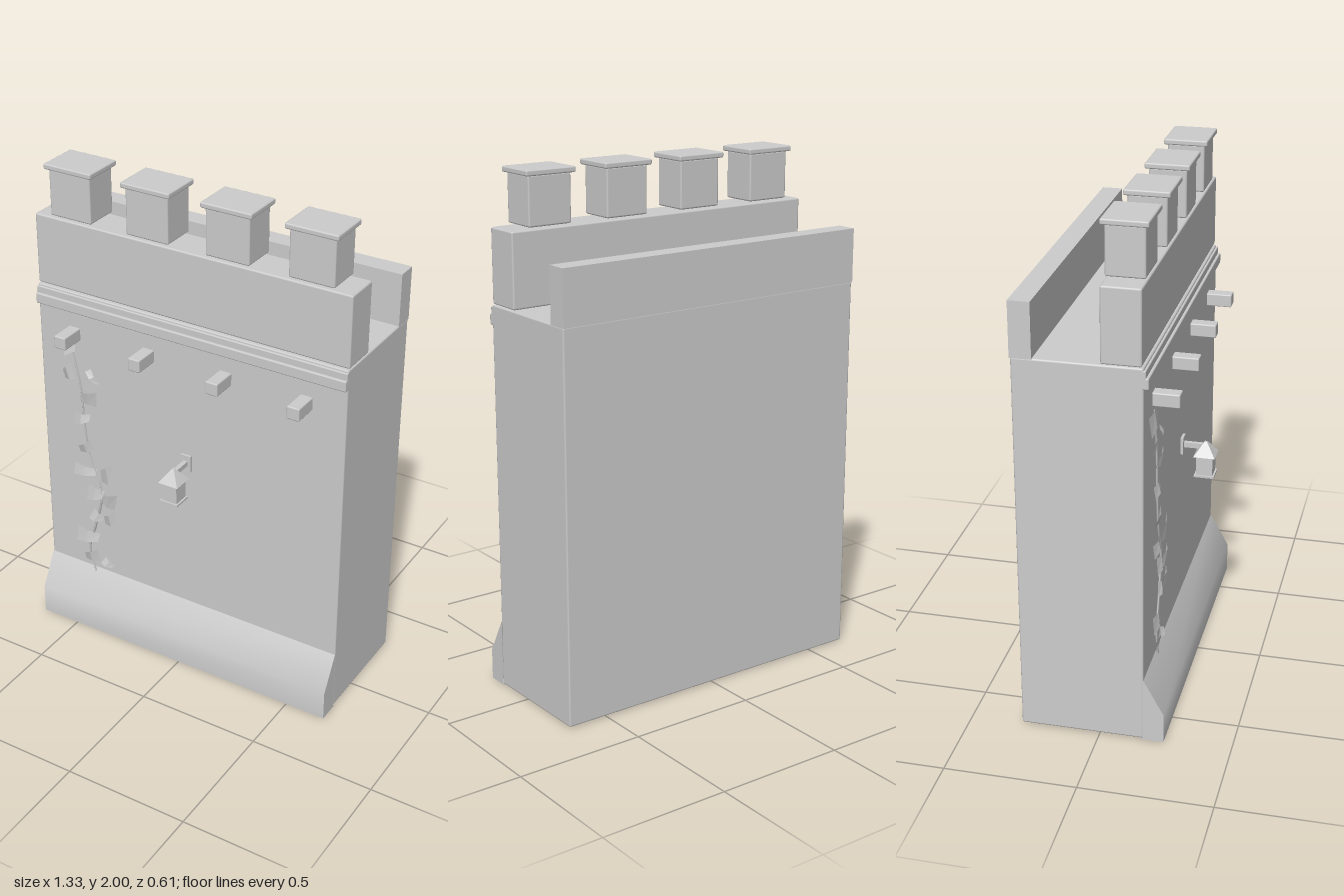
import * as THREE from 'three';
import { RoundedBoxGeometry } from 'three/addons/geometries/RoundedBoxGeometry.js';

const stone = new THREE.MeshStandardMaterial({ color: 0xcccccc, side: THREE.DoubleSide });
stone.name = 'grey stone';

export function createModel() {
  const model = new THREE.Group();
  model.name = 'battlementWall';

  const add = (name, geometry, parent = model) => {
    const mesh = new THREE.Mesh(geometry, stone);
    mesh.name = name;
    parent.add(mesh);
    return mesh;
  };
  // Box given by its limits, with an optional small bevel
  const box = (name, x0, x1, y0, y1, z0, z1, bevel = 0, parent = model) => {
    const size = [x1 - x0, y1 - y0, z1 - z0];
    const g = bevel ? new RoundedBoxGeometry(...size, 1, bevel) : new THREE.BoxGeometry(...size);
    g.translate((x0 + x1) / 2, (y0 + y1) / 2, (z0 + z1) / 2);
    return add(name, g, parent);
  };
  const W = 0.665;

  // Hollow wall body: drop the flat underside, keeping its bevelled rim
  const body = box('wallBody', -W, W, 0.005, 1.503, -0.302, 0.168, 0.007);
  const p = body.geometry.attributes.position.array, n = body.geometry.attributes.normal.array;
  const keptP = [], keptN = [];
  for (let i = 0; i < p.length; i += 9) {
    if (Math.max(p[i + 1], p[i + 4], p[i + 7]) < 0.0055) continue;
    keptP.push(...p.slice(i, i + 9));
    keptN.push(...n.slice(i, i + 9));
  }
  body.geometry = new THREE.BufferGeometry();
  body.geometry.setAttribute('position', new THREE.Float32BufferAttribute(keptP, 3));
  body.geometry.setAttribute('normal', new THREE.Float32BufferAttribute(keptN, 3));

  // Sloped plinth: smooth front skin, flat ends and underside
  const profile = [[0.245, 0], [0.245, 0.12], [0.168, 0.26]];
  const skin = new THREE.BufferGeometry();
  skin.setAttribute('position', new THREE.Float32BufferAttribute(
    profile.flatMap(([z, y]) => [-W, y, z, W, y, z]), 3));
  skin.setIndex([0, 1, 3, 0, 3, 2, 2, 3, 5, 2, 5, 4]);
  skin.computeVertexNormals();
  add('plinthFront', skin);
  const endShape = new THREE.Shape([[0.165, 0], ...profile, [0.165, 0.26]]
    .map(([z, y]) => new THREE.Vector2(-z, y)).reverse());
  for (const s of [-1, 1]) {
    const g = new THREE.ShapeGeometry(endShape);
    if (s < 0) g.scale(-1, 1, 1);
    // Reverse the mirrored triangles so both ends face outward
    if (s < 0) g.setIndex(Array.from(g.index.array).reverse());
    if (s < 0) g.attributes.normal.array.forEach((v, i, a) => { if (i % 3 === 2) a[i] = 1; });
    g.rotateY(s * Math.PI / 2).translate(s * W, 0, 0);
    add('plinthEnd', g);
  }
  box('plinthUnderside', -W, W, 0, 0.006, 0.16, 0.244);

  // Cornice mouldings
  box('corniceUpper', -W, W, 1.462, 1.495, 0.15, 0.176, 0.004);
  box('corniceLower', -W, W, 1.425, 1.468, 0.15, 0.186, 0.005);

  // Parapets
  box('frontParapet', -W, W, 1.506, 1.788, 0.016, 0.162, 0.007);
  box('backParapet', -W, W, 1.5, 1.71, -0.305, -0.225);

  // Merlons with caps, and a corbel beneath each
  for (let i = 0; i < 4; i++) {
    const x = -0.503 + i * 0.3353;
    box('merlon', x - 0.09, x + 0.09, 1.795, 1.98, 0.016, 0.16, 0.007);
    box('merlonCap', x - 0.104, x + 0.104, 1.978, 2, 0.003, 0.173, 0.006);
    box('corbel', x - 0.026, x + 0.026, 1.305, 1.357, 0.15, 0.267, 0.005);
  }

  // Lantern hung from a wall bracket
  const lantern = new THREE.Group();
  lantern.name = 'lantern';
  model.add(lantern);
  box('wallPlate', -0.022, 0.022, 0.88, 0.948, 0.166, 0.178, 0, lantern);
  box('bracketArm', -0.009, 0.009, 0.905, 0.925, 0.175, 0.265, 0, lantern);
  const tier = (name, rTop, rBottom, y0, y1) => {
    const k = Math.SQRT2;
    const g = new THREE.CylinderGeometry(rTop * k, rBottom * k, y1 - y0, 4).toNonIndexed();
    g.rotateY(Math.PI / 4).translate(0, (y0 + y1) / 2, 0.263);
    g.computeVertexNormals();
    add(name, g, lantern);
  };
  tier('lanternBase', 0.039, 0.039, 0.796, 0.804);
  tier('lanternBody', 0.032, 0.032, 0.804, 0.884);
  tier('lanternRoof', 0.005, 0.042, 0.882, 0.935);

  // Climbing plant: a thin stem and folded leaves
  const ivy = new THREE.Group();
  ivy.name = 'climbingPlant';
  model.add(ivy);
  const stem = new THREE.CatmullRomCurve3(
    [[-0.52, 1.29], [-0.48, 1.1], [-0.47, 0.94], [-0.45, 0.8], [-0.4, 0.645],
      [-0.44, 0.46], [-0.47, 0.35], [-0.44, 0.23]].map(([x, y]) => new THREE.Vector3(x, y, 0.174)));
  add('stem', new THREE.TubeGeometry(stem, 24, 0.005, 4), ivy);
  // Each leaf: centre x, centre y, length, height, turn
  const leaves = [
    [-0.545, 1.265, 0.1, 0.065, 0.3], [-0.535, 1.155, 0.05, 0.055, 0.4], [-0.42, 1.165, 0.065, 0.02, -0.85],
    [-0.445, 1.065, 0.075, 0.055, 0], [-0.48, 0.965, 0.075, 0.04, 0.2], [-0.465, 0.835, 0.075, 0.04, 0.4],
    [-0.475, 0.725, 0.105, 0.04, 0.05], [-0.365, 0.735, 0.075, 0.08, 0.25], [-0.43, 0.63, 0.075, 0.055, 0],
    [-0.365, 0.615, 0.065, 0.065, -0.1], [-0.425, 0.52, 0.055, 0.045, -0.3], [-0.36, 0.525, 0.065, 0.055, 0.3],
    [-0.475, 0.41, 0.105, 0.055, 0.02], [-0.46, 0.315, 0.07, 0.045, 0.25], [-0.38, 0.305, 0.05, 0.03, -0.4],
  ];
  leaves.forEach(([x, y, l, h, turn], i) => {
    const g = new THREE.PlaneGeometry(l, h, 2, 1);
    const a = g.attributes.position;
    const s = i % 2 ? 1 : -1;
    for (let k = 0; k < a.count; k++) {
      const u = a.getX(k) / l, v = a.getY(k) / h;
      // Taper one end, slant the edges and fold along the middle
      a.setY(k, a.getY(k) * (1 + 0.55 * s * u) + 0.1 * h * u);
      a.setX(k, a.getX(k) + 0.2 * h * v);
      a.setZ(k, (u === 0 ? 0.006 : -0.004) + 0.008 * v * s);
    }
    g.rotateZ(turn).translate(x, y, 0.18);
    const flat = g.toNonIndexed();
    flat.computeVertexNormals();
    add('leaf', flat, ivy);
  });

  return model;
}
